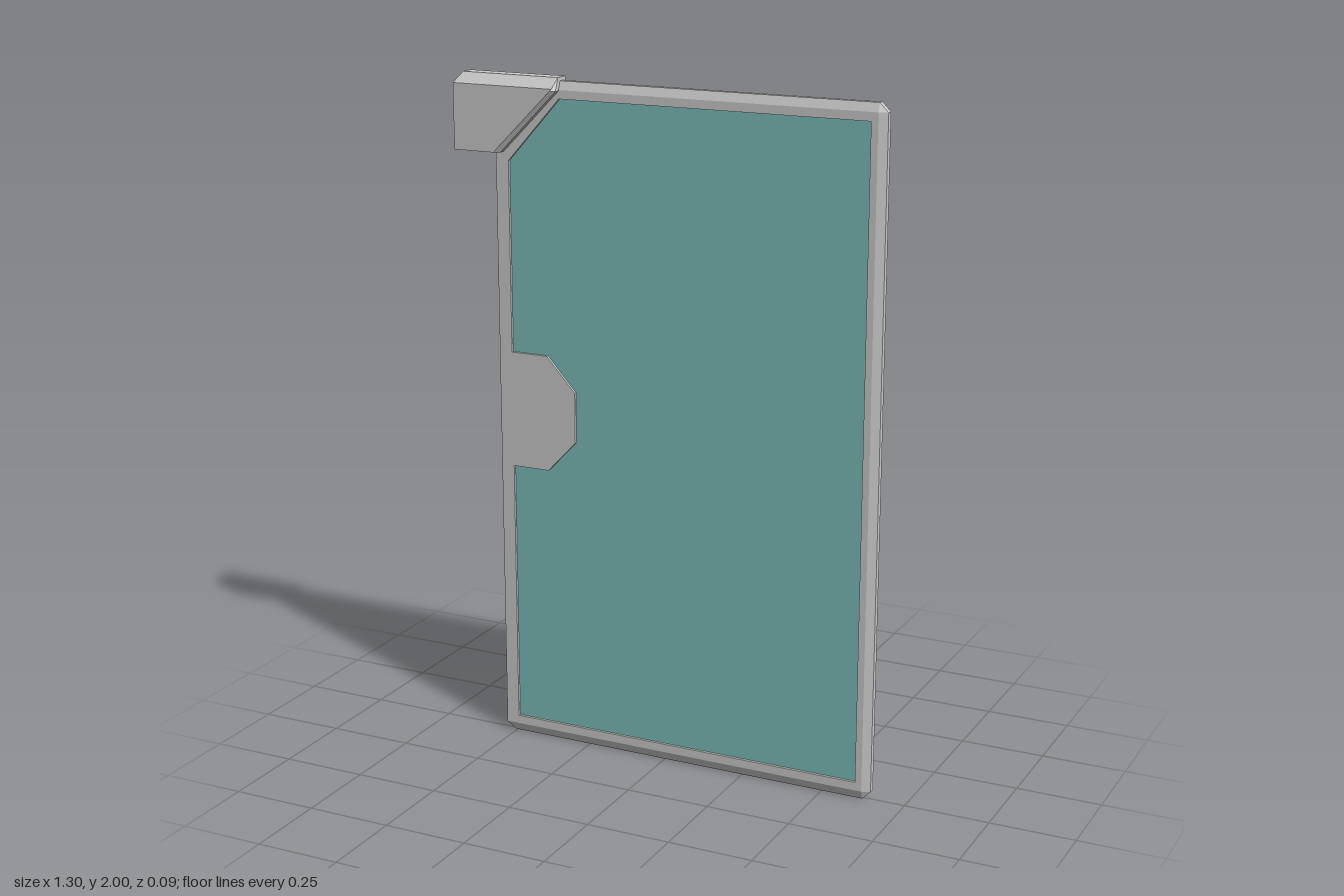
import * as THREE from 'three';

const grey = new THREE.MeshStandardMaterial({ color: 0xcccccc, flatShading: true });
const glassMat = new THREE.MeshStandardMaterial({ color: 0x7cbeb8, flatShading: true });

const toPoints = (list) => list.map(([x, y]) => new THREE.Vector2(x, y));

// Slab in four layers: inset() pulls in the two face layers, midZ() places the two rim layers.
function bevelledSlab(outline, hole, faceZ, midZ, inset) {
  const shape = new THREE.Shape(toPoints(outline));
  if (hole) shape.holes.push(new THREE.Path(toPoints(hole)));
  const geo = new THREE.ExtrudeGeometry(shape, { depth: 3, steps: 3, bevelEnabled: false });
  const pos = geo.attributes.position;
  for (let i = 0; i < pos.count; i++) {
    const x = pos.getX(i), y = pos.getY(i), layer = Math.round(pos.getZ(i));
    const side = layer < 2 ? -1 : 1;
    if (layer === 0 || layer === 3) {
      const [u, v] = inset(x, y);
      pos.setXYZ(i, u, v, side * faceZ);
    } else {
      pos.setXYZ(i, x, y, side * midZ(x, y));
    }
  }
  geo.computeVertexNormals();
  return geo;
}

export function createModel() {
  const group = new THREE.Group();
  const add = (name, geo, mat) => {
    const mesh = new THREE.Mesh(geo, mat);
    mesh.name = name;
    group.add(mesh);
  };

  // Opening in the frame, stepping around the lock plate on the right edge
  const opening = [
    [0.605, 0.055], [0.605, 1.94], [-0.325, 1.94], [-0.49, 1.755],
    [-0.49, 1.195], [-0.375, 1.195], [-0.285, 1.095], [-0.285, 0.945],
    [-0.375, 0.85], [-0.49, 0.85], [-0.49, 0.055],
  ];

  // Door frame: bevelled on the top, bottom and free side
  const frameOutline = [
    [-0.53, 0.03], [-0.505, 0.005], [0.625, 0.005], [0.65, 0.03],
    [0.65, 1.965], [0.625, 1.99], [-0.34, 1.99], [-0.53, 1.78],
  ];
  add('frameWithLockPlate', bevelledSlab(frameOutline, opening, 0.018, () => 0.009,
    (x, y) => [Math.min(x, 0.625), THREE.MathUtils.clamp(y, 0.03, 1.965)]), grey);

  // Glass pane, slightly recessed
  const pane = new THREE.ExtrudeGeometry(new THREE.Shape(toPoints(opening)),
    { depth: 0.02, bevelEnabled: false });
  pane.translate(0, 0, -0.01);
  add('glassPane', pane, glassMat);

  // Thick corner bracket with chamfered top and diagonal edge
  const bracketOutline = [
    [-0.65, 1.78], [-0.505, 1.78], [-0.325, 1.963],
    [-0.325, 2.0], [-0.63, 2.0], [-0.65, 1.97],
  ];
  add('cornerBracket', bevelledSlab(bracketOutline, null, 0.046,
    (x, y) => (y > 1.99 ? 0.021 : 0.037),
    (x, y) => {
      const v = Math.min(y, 1.97);
      return [y > 1.99 && x < -0.6 ? -0.65 : Math.min(x, v - 2.303), v];
    }), grey);

  return group;
}
